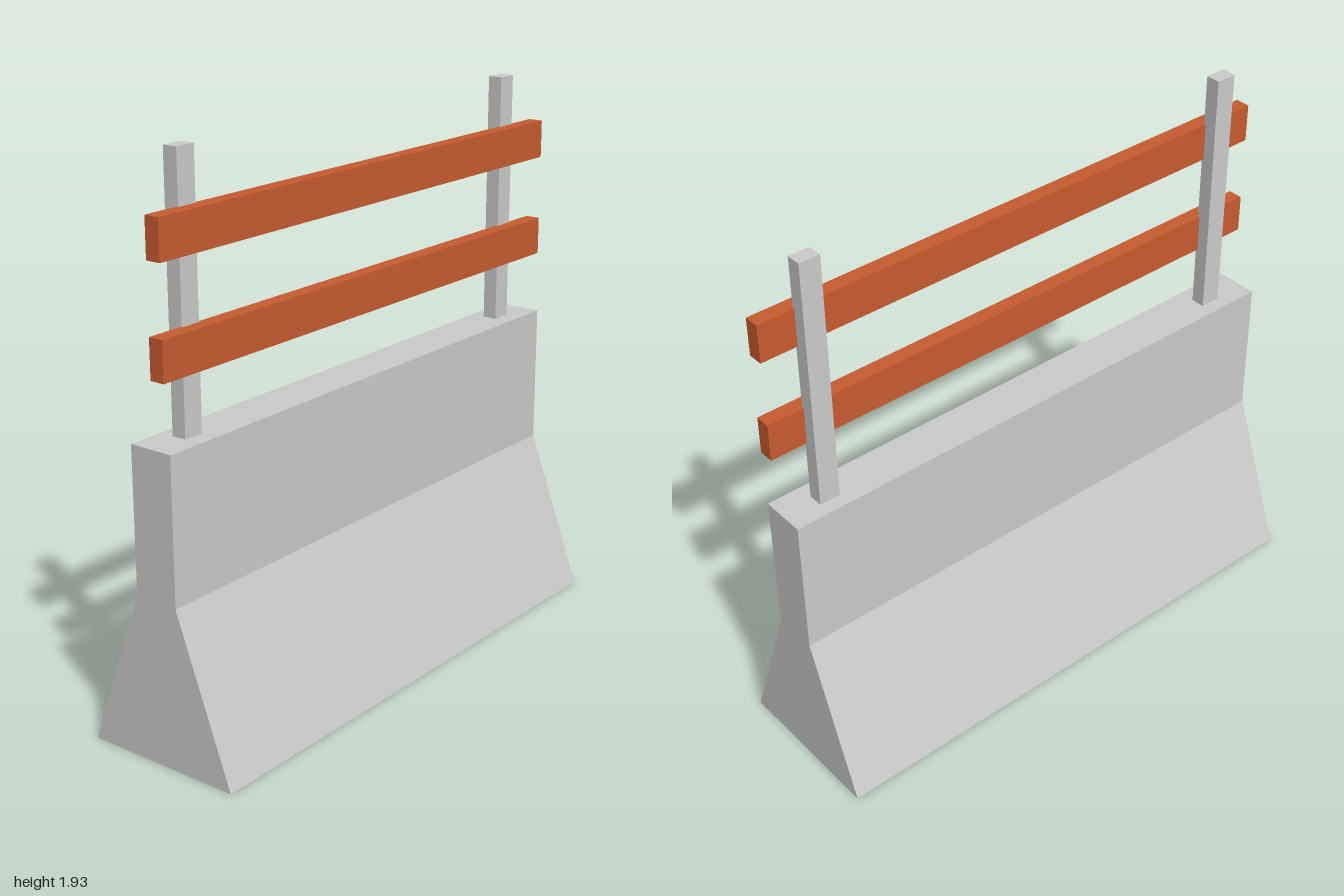
import * as THREE from 'three';

const grey = new THREE.MeshStandardMaterial({ color: 0xcccccc, flatShading: true });
const orange = new THREE.MeshStandardMaterial({ color: 0xc85c30, flatShading: true });

// Box given by its centre and size
function box(name, material, [x, y, z], size) {
  const mesh = new THREE.Mesh(new THREE.BoxGeometry(...size), material);
  mesh.name = name;
  mesh.position.set(x, y, z);
  return mesh;
}

export function createModel() {
  const model = new THREE.Group();
  model.name = 'roadBarrier';

  // Concrete base: side profile with a flared foot, extruded along x
  const foot = 0.286, wall = 0.08, breakY = 0.555, topY = 1.05, length = 1.987;
  const profile = new THREE.Shape([
    [-foot, 0], [foot, 0], [wall, breakY], [wall, topY], [-wall, topY], [-wall, breakY],
  ].map(([z, y]) => new THREE.Vector2(z, y)));
  const baseGeometry = new THREE.ExtrudeGeometry(profile, { depth: length, bevelEnabled: false });
  baseGeometry.translate(0, 0, -length / 2).rotateY(Math.PI / 2);
  const base = new THREE.Mesh(baseGeometry, grey);
  base.name = 'concreteBase';
  base.position.x = -0.003;
  model.add(base);

  // Upright posts standing on the base
  for (const [name, x] of [['rightPost', -0.833], ['leftPost', 0.833]]) {
    model.add(box(name, grey, [x, 1.4925, -0.004], [0.074, 0.885, 0.052]));
  }

  // Orange rails across the front of the posts
  for (const [name, y] of [['lowerRail', 1.333], ['upperRail', 1.693]]) {
    model.add(box(name, orange, [0, y, 0.041], [2, 0.133, 0.053]));
  }

  return model;
}
